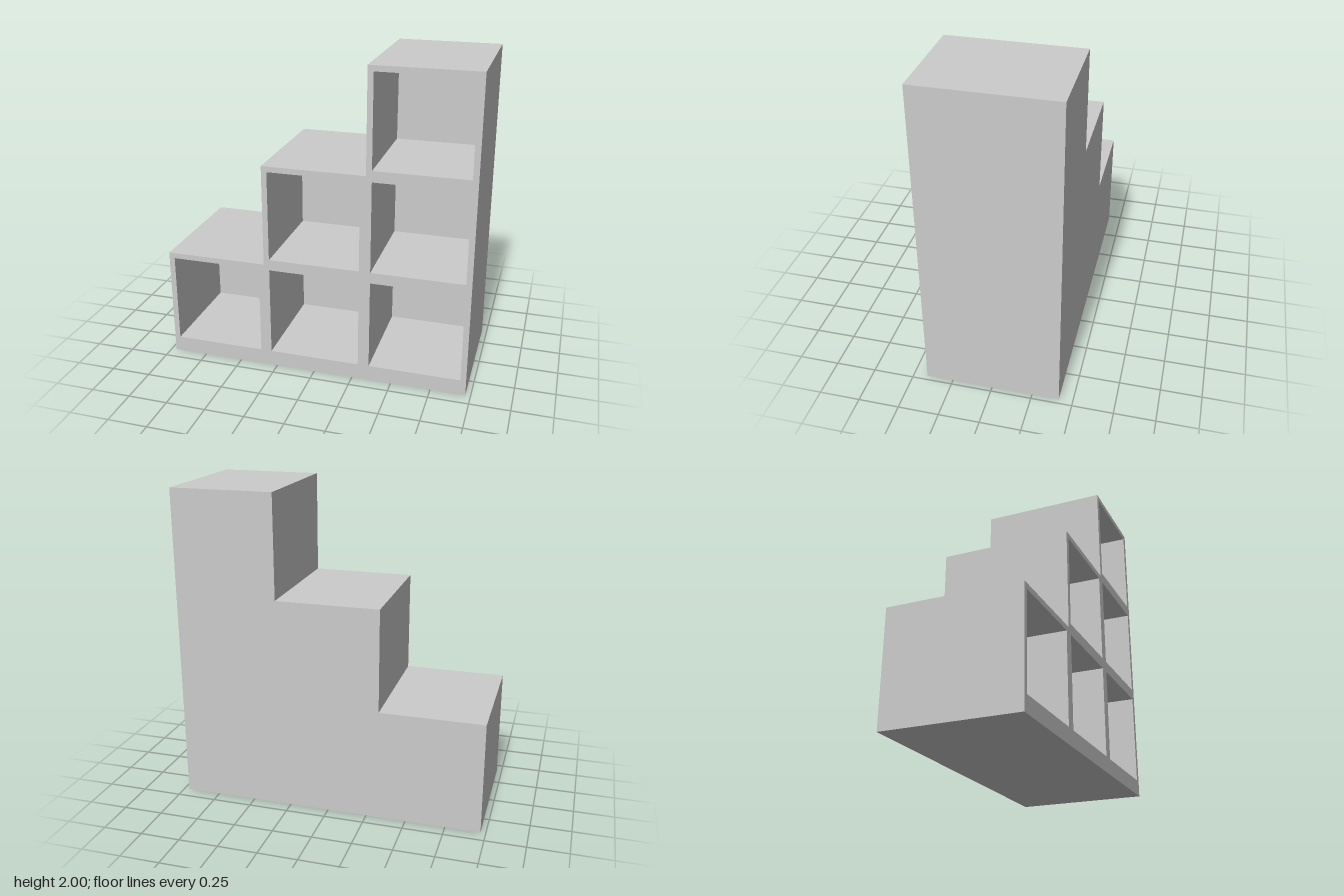
import * as THREE from 'three';

const PITCH = 0.645;      // spacing of the compartments
const OPENING = 0.575;    // size of each square opening
const BOARD = 0.035;      // thickness of the outer boards
const BASE = 0.1;         // height of the lowest shelf
const DEPTH = 0.83;
const BACK = 0.16;        // thickness of the closed back
const COLUMNS = 3;
const HALF = 0.968;

// stepped outline, rising one compartment per column towards +x
function steppedOutline() {
  const shape = new THREE.Shape();
  shape.moveTo(HALF, 0);
  shape.lineTo(HALF, 2);
  for (let col = COLUMNS - 1; col >= 0; col--) {
    const left = col === 0 ? -HALF : (col - 1.5) * PITCH;
    const top = 2 - (COLUMNS - 1 - col) * PITCH;
    shape.lineTo(left, top);
    shape.lineTo(left, col === 0 ? 0 : top - PITCH);
  }
  shape.closePath();
  return shape;
}

// square opening of one compartment
function opening(col, row) {
  const x = (col - 1) * PITCH - OPENING / 2;
  const y = 2 - BOARD - OPENING - (COLUMNS - 1 - row) * PITCH;
  const hole = new THREE.Path();
  hole.moveTo(x, y);
  hole.lineTo(x, y + OPENING);
  hole.lineTo(x + OPENING, y + OPENING);
  hole.lineTo(x + OPENING, y);
  hole.closePath();
  return hole;
}

export function createModel() {
  const group = new THREE.Group();
  group.name = 'steppedShelf';
  const material = new THREE.MeshStandardMaterial({ color: 0xcccccc });

  const addSlab = (name, shape, depth, z) => {
    const geometry = new THREE.ExtrudeGeometry(shape, { depth, bevelEnabled: false });
    const mesh = new THREE.Mesh(geometry, material);
    mesh.name = name;
    mesh.position.z = z;
    group.add(mesh);
  };

  // frame with one, two and three compartments per column
  const frame = steppedOutline();
  for (let col = 0; col < COLUMNS; col++) {
    for (let row = 0; row <= col; row++) frame.holes.push(opening(col, row));
  }
  addSlab('shelfFrame', frame, DEPTH - BACK, BACK - DEPTH / 2);

  // closed back
  addSlab('backPanel', steppedOutline(), BACK, -DEPTH / 2);
  return group;
}
